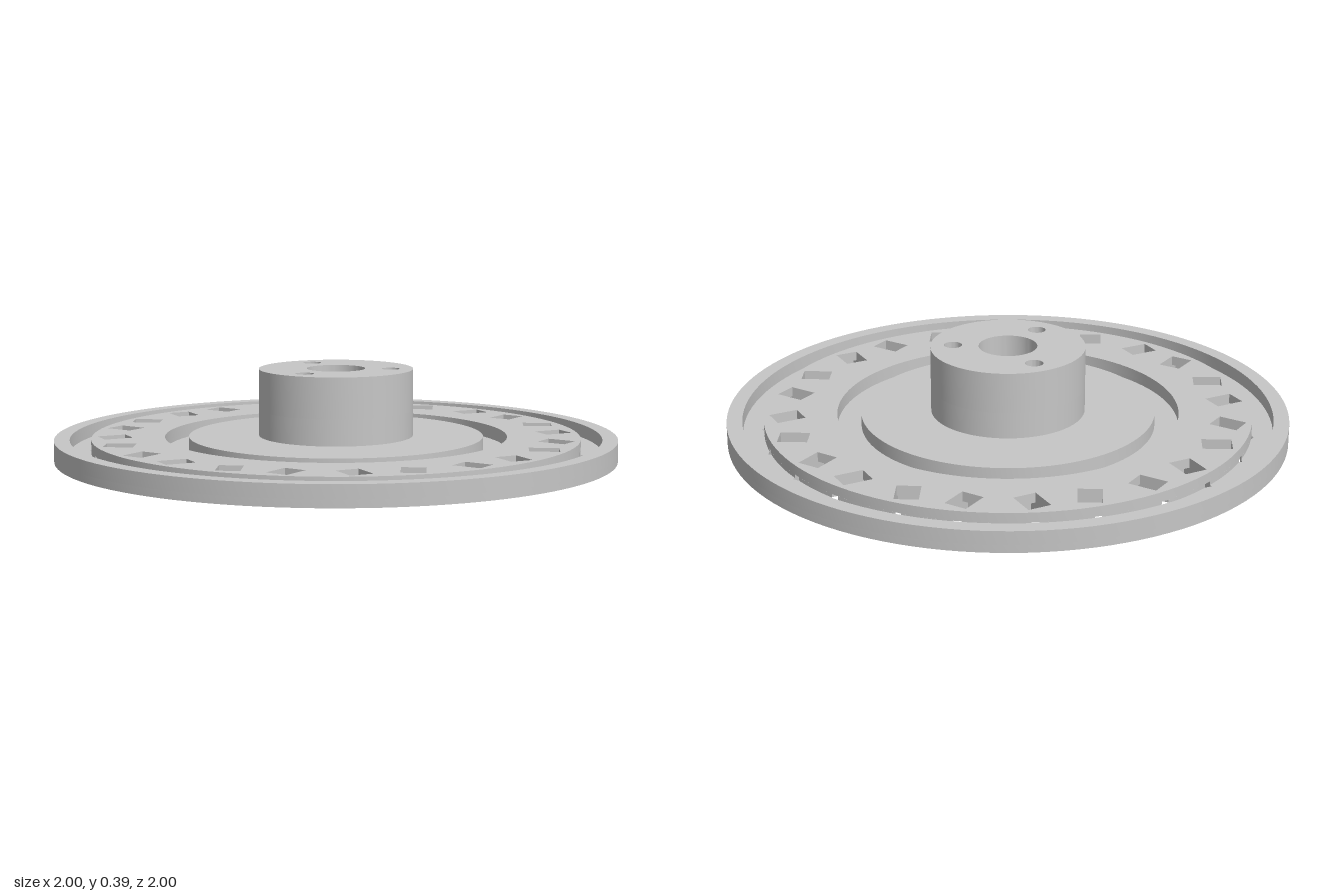
import * as THREE from 'three';
import { toCreasedNormals } from 'three/addons/utils/BufferGeometryUtils.js';

const SEG = 120;
const DEG = Math.PI / 180;
// heights of the wheel: underside, groove floor, pocket ledge, top
const Y0 = 0.081, FLOOR = 0.108, LEDGE = 0.121, TOP = 0.156;
// slot and pocket sizes inside each 30 degree frame
const SLOT_X = 0.295, SLOT_Z = 0.729, HALF_W = 0.041, SLOT_HALF = 0.052, POCKET_HALF = 0.084;
const PLATE_OUT = 0.87, PLATE_IN = 0.61;

const polar = (r, a) => new THREE.Vector2(r * Math.sin(a), r * Math.cos(a));
const turn = (x, y, a) => new THREE.Vector2(
  x * Math.cos(a) + y * Math.sin(a), -x * Math.sin(a) + y * Math.cos(a));

function circle(r, x = 0, y = 0, n = SEG) {
  return Array.from({ length: n }, (_, i) => polar(r, (i / n) * Math.PI * 2).add(new THREE.Vector2(x, y)));
}

// 24 rectangles: a mirrored pair in each of 12 frames
function rectangles(halfLength) {
  const list = [];
  for (let k = 0; k < 12; k++) {
    for (const s of [-1, 1]) {
      list.push([[-1, -1], [1, -1], [1, 1], [-1, 1]].map(([u, v]) =>
        turn(s * SLOT_X + u * HALF_W, SLOT_Z + v * halfLength, k * 30 * DEG)));
    }
  }
  return list;
}

// plate outline, cut where a pocket corner breaks through the outer edge
function notchedOutline() {
  const inX = SLOT_X - HALF_W, outX = SLOT_X + HALF_W;
  const near = SLOT_Z - POCKET_HALF, far = SLOT_Z + POCKET_HALF;
  const cutX = Math.sqrt(PLATE_OUT ** 2 - far ** 2);
  const cutY = Math.sqrt(PLATE_OUT ** 2 - outX ** 2);
  const notch = [[cutX, far], [inX, far], [inX, near], [outX, near], [outX, cutY]];
  const mirrored = notch.map(([x, y]) => [-x, y]).reverse();
  const start = Math.atan2(cutX, far), end = Math.atan2(outX, cutY);
  const points = [];
  const arc = (a, b) => {
    for (let i = 1; i < 6; i++) points.push(polar(PLATE_OUT, a + (b - a) * i / 6));
  };
  for (let k = 0; k < 12; k++) {
    const base = k * 30 * DEG, next = base + 30 * DEG;
    arc(base - 30 * DEG + end, next - end);
    mirrored.forEach(([x, y]) => points.push(turn(x, y, next)));
    arc(next - start, base + start);
    notch.forEach(([x, y]) => points.push(turn(x, y, base)));
  }
  return points;
}

// flat layer between two heights; the outline is reversed to run anticlockwise
function slab(name, outline, holes, y0, y1, material) {
  const shape = new THREE.Shape(outline.reverse());
  shape.holes = holes.map((h) => new THREE.Path(h));
  let geometry = new THREE.ExtrudeGeometry(shape, { depth: y1 - y0, bevelEnabled: false });
  geometry.rotateX(-Math.PI / 2);
  geometry.translate(0, y0, 0);
  geometry = toCreasedNormals(geometry, 30 * DEG);
  const mesh = new THREE.Mesh(geometry, material);
  mesh.name = name;
  return mesh;
}

export function createModel() {
  const group = new THREE.Group();
  group.name = 'slottedWheel';
  const grey = new THREE.MeshStandardMaterial({ color: 0xc6c6c6 });
  grey.name = 'grey';
  const add = (...args) => group.add(slab(...args, grey));

  // wheel base with long pockets open to the underside
  add('wheelBase', circle(1), [circle(0.27), ...rectangles(POCKET_HALF)], Y0, FLOOR);
  // raised outer rim and inner disc, leaving grooves between
  add('outerRim', circle(1), [circle(0.945)], FLOOR, TOP);
  add('innerDisc', circle(0.525), [circle(0.27)], FLOOR, TOP);
  // slotted ring: pocket layer below, shorter slots above
  add('pocketRing', notchedOutline(), [circle(PLATE_IN)], FLOOR, LEDGE);
  add('slotRing', circle(PLATE_OUT), [circle(PLATE_IN), ...rectangles(SLOT_HALF)], LEDGE, TOP);

  // hub with a through bore and three blind pin holes
  const pins = [0, 120, 240].map((a) => {
    const p = polar(0.195, a * DEG);
    return circle(0.032, p.x, p.y, 32);
  });
  add('hubBody', circle(0.275), [circle(0.104, 0, 0, 64)], 0, 0.25);
  add('hubTop', circle(0.275), [circle(0.104, 0, 0, 64), ...pins], 0.25, 0.395);
  return group;
}
